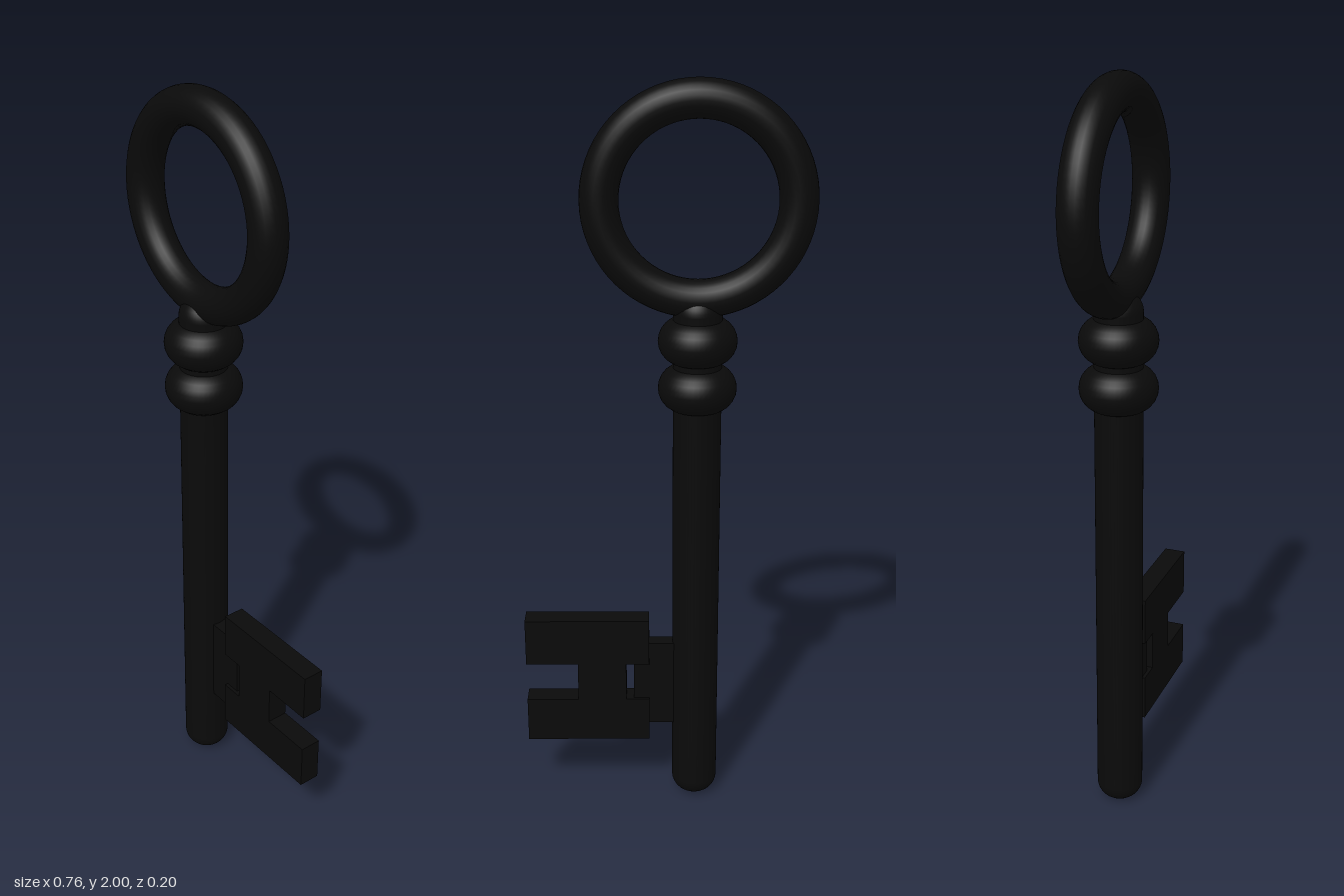
import * as THREE from 'three';

const AXIS_X = -0.087; // centre line of the shaft

export function createModel() {
  const key = new THREE.Group();
  key.name = 'key';
  const iron = new THREE.MeshStandardMaterial({ color: 0x0a0a0a });

  const add = (name, geometry, x, y, z = 0) => {
    const mesh = new THREE.Mesh(geometry, iron);
    mesh.name = name;
    mesh.position.set(x, y, z);
    key.add(mesh);
    return mesh;
  };

  // Round shaft with softly rounded ends
  const radius = 0.063, length = 1.47, round = 0.05;
  const profile = [new THREE.Vector2(0, 0)];
  for (let i = 0; i <= 8; i++) {
    const a = (i / 8) * Math.PI / 2;
    profile.push(new THREE.Vector2(radius - round + round * Math.sin(a), round - round * Math.cos(a)));
  }
  const topHalf = profile.map(p => new THREE.Vector2(p.x, length - p.y)).reverse();
  add('shaft', new THREE.LatheGeometry([...profile, ...topHalf], 48), AXIS_X, 0);

  // Two rounded collars below the ring
  for (const [name, y] of [['lowerCollar', 1.219], ['upperCollar', 1.345]]) {
    add(name, new THREE.TorusGeometry(0.042, 0.06, 24, 48).rotateX(Math.PI / 2), AXIS_X, y);
  }

  // Ring handle
  add('ringHandle', new THREE.TorusGeometry(0.247, 0.049, 24, 72), AXIS_X, 1.704, -0.004);

  // Thin web joining the bit to the shaft
  add('bitWeb', new THREE.BoxGeometry(0.163, 0.252, 0.04), 0.0015, 0.354, -0.0015);

  // H-shaped bit, notched on both sides
  const outline = [
    [0.04, 0.18], [0.381, 0.18], [0.381, 0.309], [0.238, 0.309], [0.238, 0.42], [0.381, 0.42],
    [0.381, 0.554], [0.04, 0.554], [0.04, 0.42], [0.104, 0.42], [0.104, 0.309], [0.04, 0.309],
  ];
  const shape = new THREE.Shape(outline.map(([x, y]) => new THREE.Vector2(x, y)));
  add('bit', new THREE.ExtrudeGeometry(shape, { depth: 0.059, bevelEnabled: false }), 0, 0, -0.031);

  return key;
}
